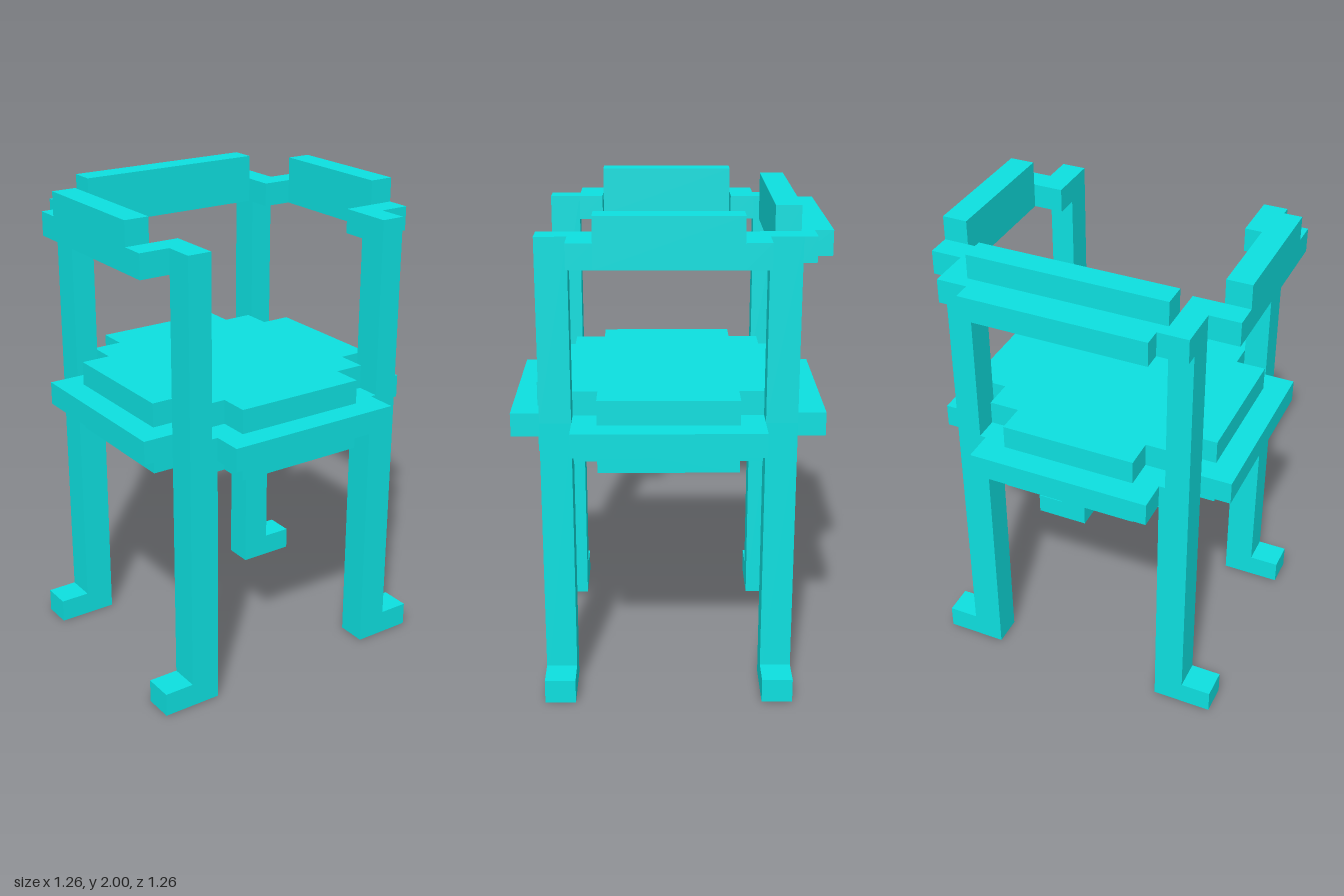
import * as THREE from 'three';

export function createModel() {
  const model = new THREE.Group();
  model.name = 'armchair';
  const material = new THREE.MeshStandardMaterial({ color: 0x0de0e0, flatShading: true });

  // Box given by its low and high corners
  function block(name, x0, x1, y0, y1, z0, z1, parent = model) {
    const mesh = new THREE.Mesh(new THREE.BoxGeometry(x1 - x0, y1 - y0, Math.abs(z1 - z0)), material);
    mesh.position.set((x0 + x1) / 2, (y0 + y1) / 2, (z0 + z1) / 2);
    mesh.name = name;
    parent.add(mesh);
  }

  // Horizontal slab with stepped corners; steps are the corners of one quadrant
  function steppedSlab(name, steps, y0, y1) {
    const flipped = [...steps].reverse();
    const outline = [
      ...steps,
      ...flipped.map(([x, z]) => [-x, z]),
      ...steps.map(([x, z]) => [-x, -z]),
      ...flipped.map(([x, z]) => [x, -z]),
    ].map(([x, z]) => new THREE.Vector2(x, z));
    const geometry = new THREE.ExtrudeGeometry(new THREE.Shape(outline), { depth: y1 - y0, bevelEnabled: false });
    geometry.rotateX(-Math.PI / 2);
    const mesh = new THREE.Mesh(geometry, material);
    mesh.position.y = y0;
    mesh.name = name;
    model.add(mesh);
  }

  // Seat: wide cross-shaped frame between two smaller stepped pads
  const pad = [[0.53, 0.28], [0.405, 0.28], [0.405, 0.405], [0.28, 0.405], [0.28, 0.53]];
  const frame = [[0.632, 0.38], [0.38, 0.38], [0.38, 0.632]];
  steppedSlab('seatUnderside', pad, 0.968, 1.068);
  steppedSlab('seatFrame', frame, 1.068, 1.165);
  steppedSlab('seatCushion', pad, 1.165, 1.265);

  for (const side of [-1, 1]) {
    const sideName = side > 0 ? 'left' : 'right';
    // Box on this side, given by its inner and outer x
    const sideBlock = (name, inner, outer, y0, y1, z0, z1, parent) =>
      block(name, Math.min(side * inner, side * outer), Math.max(side * inner, side * outer), y0, y1, z0, z1, parent);

    for (const end of [-1, 1]) {
      const leg = new THREE.Group();
      leg.name = sideName + (end > 0 ? 'FrontLeg' : 'BackLeg');
      model.add(leg);
      // Leg, outward foot, slimmer upper post and the link to the armrest
      sideBlock('lowerLeg', 0.38, 0.505, 0, 1.165, end * 0.38, end * 0.505, leg);
      sideBlock('foot', 0.505, 0.632, 0, 0.1, end * 0.38, end * 0.505, leg);
      sideBlock('upperPost', 0.405, 0.505, 1.165, 1.9, end * 0.38, end * 0.505, leg);
      sideBlock('armLink', 0.405, 0.632, 1.8, 1.9, end * 0.28, end * 0.38, leg);
    }

    // Raised armrest and the link to the back rail
    sideBlock(sideName + 'Armrest', 0.53, 0.632, 1.8, 2, -0.28, 0.28);
    sideBlock(sideName + 'BackLink', 0.38, 0.505, 1.8, 1.9, -0.558, -0.505);
  }

  // Backrest with a lower rail behind it
  block('backrest', -0.405, 0.405, 1.8, 2, -0.505, -0.405);
  block('backRail', -0.38, 0.38, 1.8, 1.9, -0.632, -0.505);

  return model;
}
